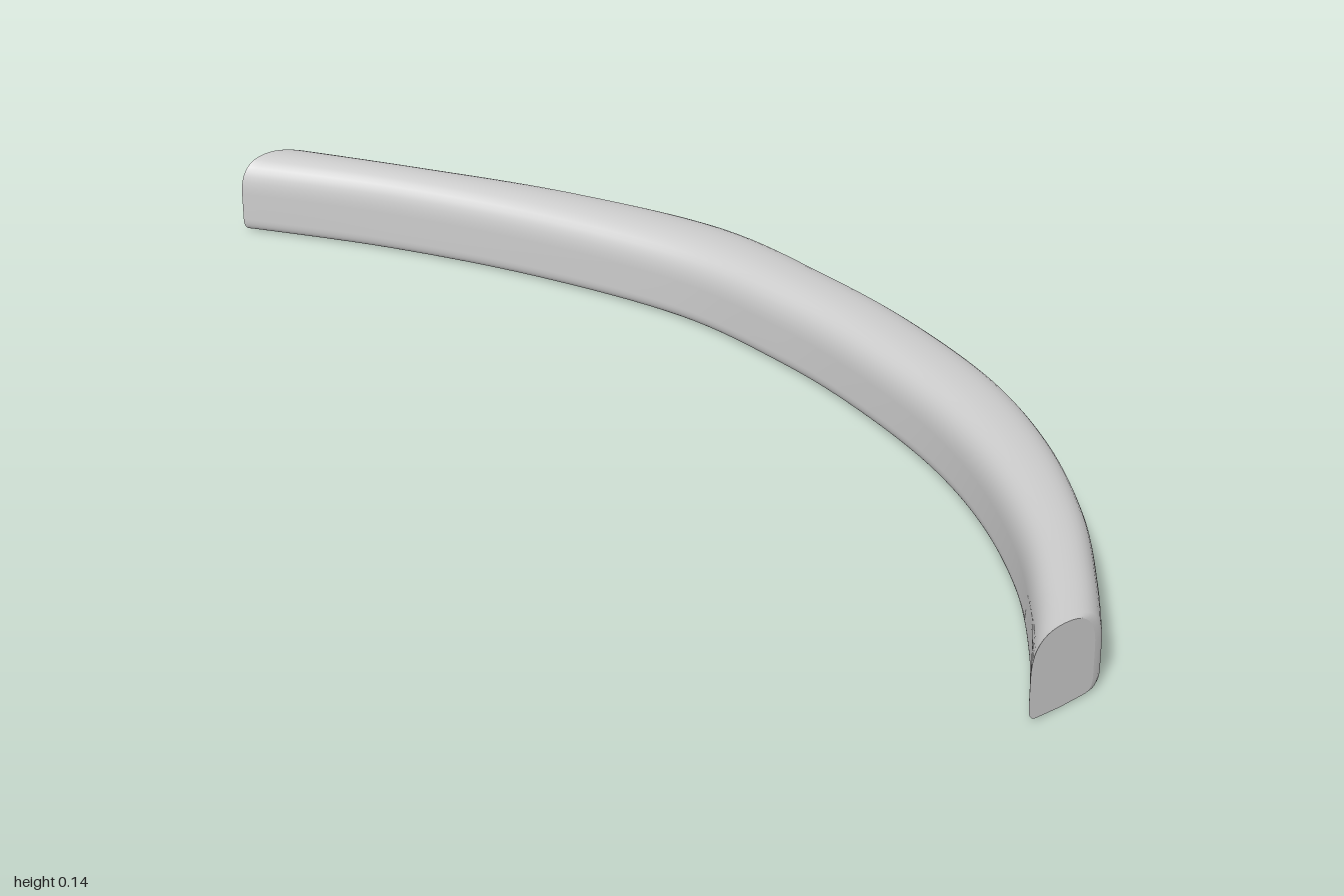
import * as THREE from 'three';

const curve = pts => new THREE.SplineCurve(pts.map(([x, z]) => new THREE.Vector2(x, z)));

// Plan-view edges (x, z), from back end to front end
const inner = curve([[-0.44, -0.965], [-0.23, -0.785], [-0.03, -0.57], [0.14, -0.33], [0.225, -0.11],
  [0.27, 0.08], [0.295, 0.3], [0.285, 0.5], [0.24, 0.7], [0.17, 0.87], [0.1, 0.997]]);
const outer = curve([[-0.305, -1.003], [-0.13, -0.84], [0.08, -0.64], [0.27, -0.4], [0.36, -0.15],
  [0.41, 0.05], [0.435, 0.28], [0.415, 0.49], [0.36, 0.69], [0.29, 0.85], [0.235, 0.958]]);

// Cross-section: u runs from inner (0) to outer (1) edge, y is height
function sectionPoints() {
  const s = new THREE.Shape();
  s.moveTo(0.12, 0.003);
  s.lineTo(0.5, 0.001);
  s.lineTo(0.88, 0.003);
  s.quadraticCurveTo(1, 0.004, 1, 0.026);
  s.lineTo(1, 0.075);
  s.bezierCurveTo(1, 0.118, 0.85, 0.14, 0.5, 0.14);
  s.bezierCurveTo(0.15, 0.14, 0, 0.118, 0, 0.075);
  s.lineTo(0, 0.026);
  s.quadraticCurveTo(0, 0.004, 0.12, 0.003);
  const pts = s.getPoints(10);
  pts.pop();
  return pts;
}

export function createModel() {
  const section = sectionPoints();
  const n = section.length;
  const steps = 80;

  // The outer corner of each end is slightly rounded by narrowing the last rings
  const rings = [[0, 0.9], [0.004, 0.97], [0.012, 1]];
  for (let i = 2; i < steps - 1; i++) rings.push([i / steps, 1]);
  rings.push([0.988, 1], [0.996, 0.97], [1, 0.9]);

  const ringPoints = ([t, width]) => {
    const a = inner.getPoint(t), b = outer.getPoint(t);
    return section.map(p => {
      const q = a.clone().lerp(b, p.x * width);
      return [q.x, p.y, q.y];
    });
  };

  const position = [], index = [];
  rings.forEach(r => ringPoints(r).forEach(p => position.push(...p)));
  for (let i = 0; i < rings.length - 1; i++) {
    for (let j = 0; j < n; j++) {
      const k = (j + 1) % n;
      const a = i * n + j, b = i * n + k, c = a + n, d = b + n;
      index.push(a, b, c, b, d, c);
    }
  }

  const group = new THREE.Group();
  const material = new THREE.MeshStandardMaterial({ color: 0xcccccc });
  const add = (name, pos, idx) => {
    const geometry = new THREE.BufferGeometry();
    geometry.setAttribute('position', new THREE.Float32BufferAttribute(pos, 3));
    geometry.setIndex(idx);
    geometry.computeVertexNormals();
    const mesh = new THREE.Mesh(geometry, material);
    mesh.name = name;
    group.add(mesh);
  };
  add('curvedBar', position, index);

  // Flat oblique end faces
  const addCap = (name, ring, front) => {
    const pts = ringPoints(ring), idx = [];
    for (let j = 1; j < n - 1; j++) idx.push(0, ...(front ? [j, j + 1] : [j + 1, j]));
    add(name, pts.flat(), idx);
  };
  addCap('backEnd', rings[0], false);
  addCap('frontEnd', rings[rings.length - 1], true);

  group.name = 'curvedRail';
  return group;
}
